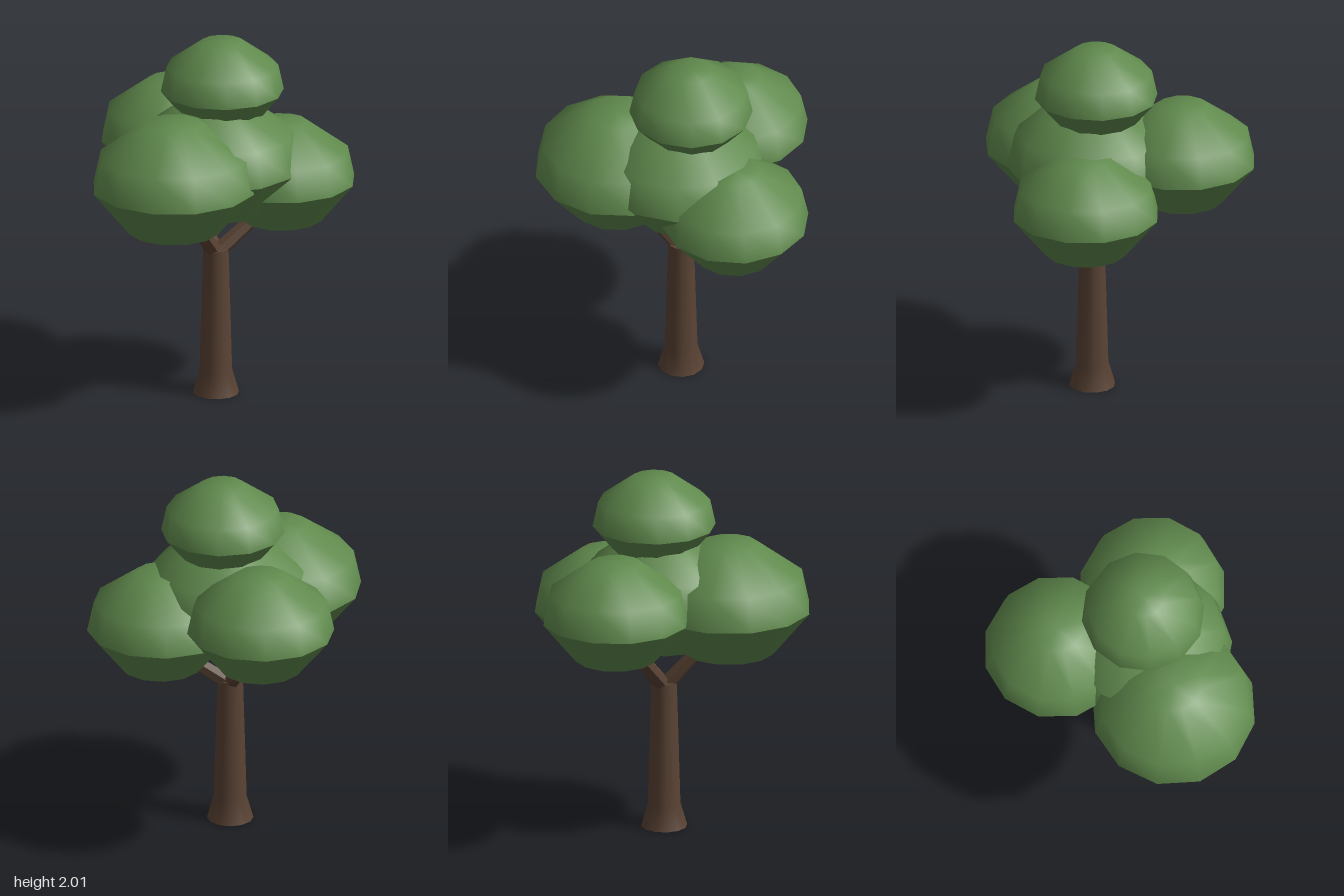
import * as THREE from 'three';

const leafGreen = new THREE.MeshStandardMaterial({ color: 0x608a4d });
leafGreen.name = 'leaf green';
const barkBrown = new THREE.MeshStandardMaterial({ color: 0x5a4334, side: THREE.DoubleSide });
barkBrown.name = 'bark brown';
// faceted bark shares the bark colour; its facets come from split vertices

const SIDES = 12;
const lathe = (pts) =>
  new THREE.LatheGeometry(pts.map(([r, y]) => new THREE.Vector2(r, y)), SIDES);

function addMesh(parent, name, geometry, material) {
  const mesh = new THREE.Mesh(geometry, material);
  mesh.name = name;
  parent.add(mesh);
  return mesh;
}

// One leaf clump: smooth dome, sharp rim, tapering underside and flat bottom
function leafClump(name, x, y, z, r, turn) {
  const clump = new THREE.Group();
  clump.name = name;
  const low = -0.545 * r, mid = 0.415 * r, top = 0.825 * r;
  addMesh(clump, 'dome', lathe([[r, 0], [0.91 * r, mid], [0.35 * r, top], [0, top]]), leafGreen);
  addMesh(clump, 'underside', lathe([[0.55 * r, low], [r, 0]]), leafGreen);
  addMesh(clump, 'bottom', lathe([[0, low], [0.55 * r, low]]), leafGreen);
  clump.position.set(x, y, z);
  clump.rotation.y = THREE.MathUtils.degToRad(turn);
  return clump;
}

// Faceted tapered branch between two points
function branch(name, from, to) {
  const a = new THREE.Vector3(...from), b = new THREE.Vector3(...to);
  const dir = b.clone().sub(a);
  const geo = new THREE.CylinderGeometry(0.034, 0.046, dir.length(), 6).toNonIndexed();
  geo.computeVertexNormals();
  const mesh = new THREE.Mesh(geo, barkBrown);
  mesh.name = name;
  mesh.position.copy(a).add(b).multiplyScalar(0.5);
  mesh.quaternion.setFromUnitVectors(new THREE.Vector3(0, 1, 0), dir.normalize());
  return mesh;
}

export function createModel() {
  const tree = new THREE.Group();
  tree.name = 'tree';

  // Trunk with flared foot, open underneath
  const trunk = new THREE.Group();
  trunk.name = 'trunk';
  trunk.position.set(0.05, 0, -0.04);
  addMesh(trunk, 'trunkBody', lathe([[0.127, 0], [0.09, 0.13], [0.07, 0.83]]), barkBrown);
  addMesh(trunk, 'trunkTop', lathe([[0.07, 0.83], [0, 0.83]]), barkBrown);
  tree.add(trunk);

  // Branches reaching into the outer clumps
  const fork = [0.05, 0.8, -0.04];
  tree.add(branch('frontBranch', fork, [-0.01, 1.16, 0.27]));
  tree.add(branch('backRightBranch', fork, [-0.27, 1.18, -0.3]));
  tree.add(branch('backLeftBranch', fork, [0.29, 1.06, -0.28]));

  // Foliage: name, rim centre, rim radius, turn in degrees
  [
    ['topClump', 0.066, 1.73, -0.093, 0.337, -3],
    ['centreClump', 0.055, 1.31, -0.04, 0.462, -6],
    ['frontClump', -0.055, 1.275, 0.305, 0.452, 8],
    ['backRightClump', -0.33, 1.322, -0.355, 0.403, 5],
    ['backLeftClump', 0.325, 1.175, -0.318, 0.405, 5],
  ].forEach((c) => tree.add(leafClump(...c)));

  return tree;
}
